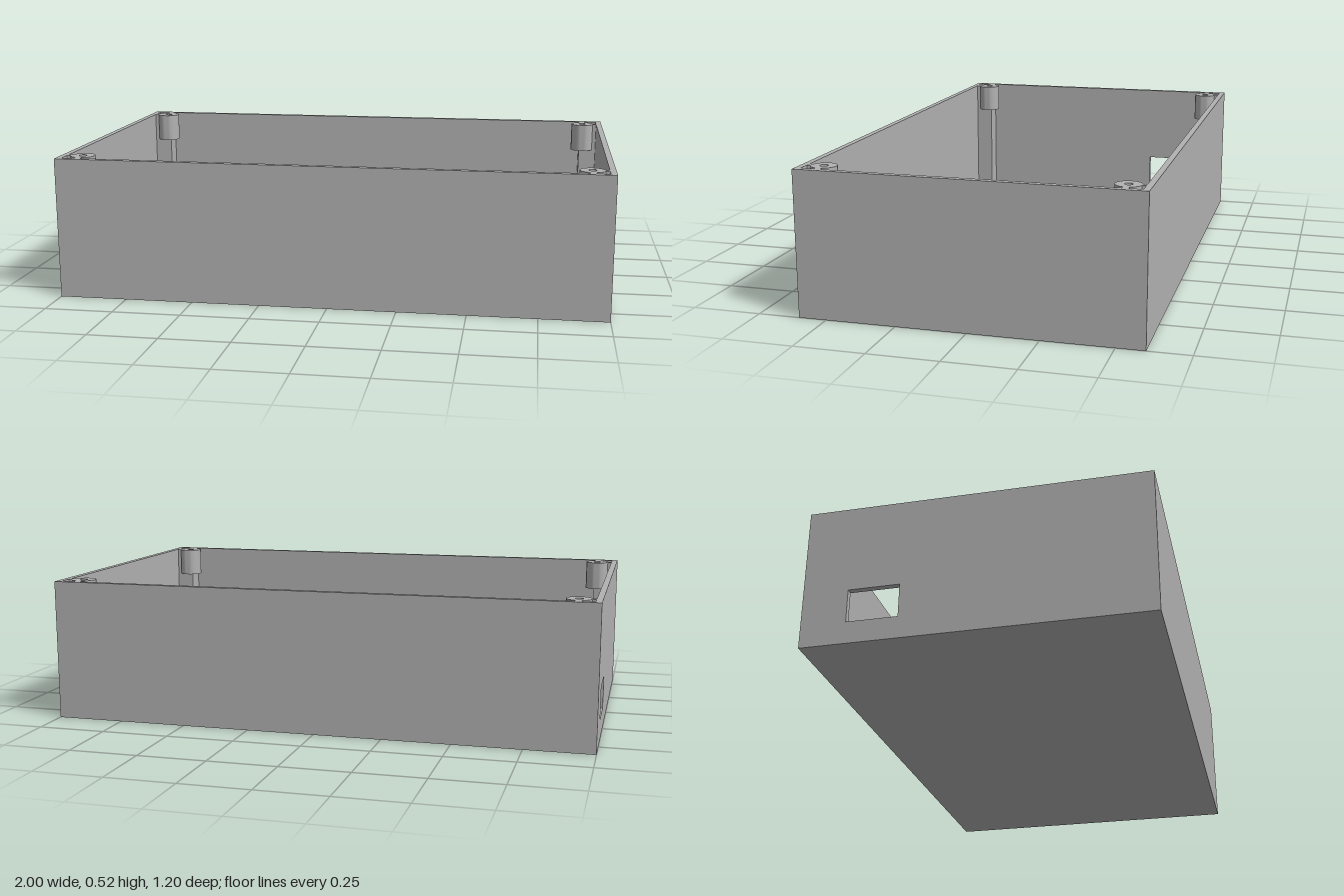
import * as THREE from 'three';
import { toCreasedNormals } from 'three/addons/utils/BufferGeometryUtils.js';

const W = 2, H = 0.52, D = 1.2;   // outer size
const T = 0.022;                  // wall and floor thickness
const BOSS_X = 0.92, BOSS_Z = 0.52, BOSS_R = 0.045, BOSS_H = 0.11;
const RIB = 0.022;

export function createModel() {
  const grey = new THREE.MeshStandardMaterial({ color: 0xb2b2b2 });
  grey.name = 'grey plastic';
  const model = new THREE.Group();
  model.name = 'openEnclosure';

  const add = (parent, name, geometry) => {
    const mesh = new THREE.Mesh(geometry, grey);
    mesh.name = name;
    parent.add(mesh);
    return mesh;
  };

  // Box given by two opposite corners, in any order
  const block = (parent, name, a, b) => {
    const size = a.map((v, i) => Math.abs(v - b[i]));
    const mesh = add(parent, name, new THREE.BoxGeometry(...size));
    mesh.position.set(...a.map((v, i) => (v + b[i]) / 2));
  };

  // Floor and the three solid walls
  const ix = W / 2 - T, iz = D / 2 - T;
  block(model, 'floor', [-ix, 0, -iz], [ix, T, iz]);
  block(model, 'frontWall', [-ix, 0, iz], [ix, H, D / 2]);
  block(model, 'backWall', [-ix, 0, -D / 2], [ix, H, -iz]);
  block(model, 'leftWall', [ix, 0, -D / 2], [W / 2, H, D / 2]);

  // Wall with the rectangular cable opening, drawn in z and y
  const rect = (Kind, z0, y0, z1, y1) => new Kind([
    new THREE.Vector2(z0, y0), new THREE.Vector2(z1, y0),
    new THREE.Vector2(z1, y1), new THREE.Vector2(z0, y1),
  ]);
  const portWall = rect(THREE.Shape, -D / 2, 0, D / 2, H);
  portWall.holes.push(rect(THREE.Path, -0.44, 0.08, -0.26, 0.2));
  const portGeometry = new THREE.ExtrudeGeometry(portWall, { depth: T, bevelEnabled: false });
  portGeometry.rotateY(-Math.PI / 2);
  add(model, 'rightWallWithPort', portGeometry).position.x = -ix;

  // Round screw boss with its pilot hole
  const ring = new THREE.Shape().absarc(0, 0, BOSS_R, 0, Math.PI * 2);
  ring.holes.push(new THREE.Path().absarc(0, 0, 0.014, 0, Math.PI * 2));
  const bossGeometry = toCreasedNormals(
    new THREE.ExtrudeGeometry(ring, { depth: BOSS_H, bevelEnabled: false, curveSegments: 16 })
      .rotateX(-Math.PI / 2), 0.6);

  // Four corner posts: a boss carried by two ribs that run down to the floor
  for (const sx of [-1, 1]) {
    for (const sz of [-1, 1]) {
      const post = new THREE.Group();
      post.name = 'cornerPost';
      model.add(post);
      const low = H - BOSS_H, h = RIB / 2, edge = BOSS_R - 0.004;
      const cx = sx * BOSS_X, cz = sz * BOSS_Z;
      add(post, 'screwBoss', bossGeometry).position.set(cx, low, cz);

      // Lower ribs meet under the boss
      block(post, 'lowerSideRib', [cx - sx * h, T, cz - h], [sx * ix, low, cz + h]);
      block(post, 'lowerEndRib', [cx - h, T, cz + sz * h], [cx + h, low, sz * iz]);

      // Upper ribs stop at the boss
      block(post, 'upperSideRib', [cx + sx * edge, low, cz - h], [sx * ix, H, cz + h]);
      block(post, 'upperEndRib', [cx - h, low, cz + sz * edge], [cx + h, H, sz * iz]);
    }
  }
  return model;
}
